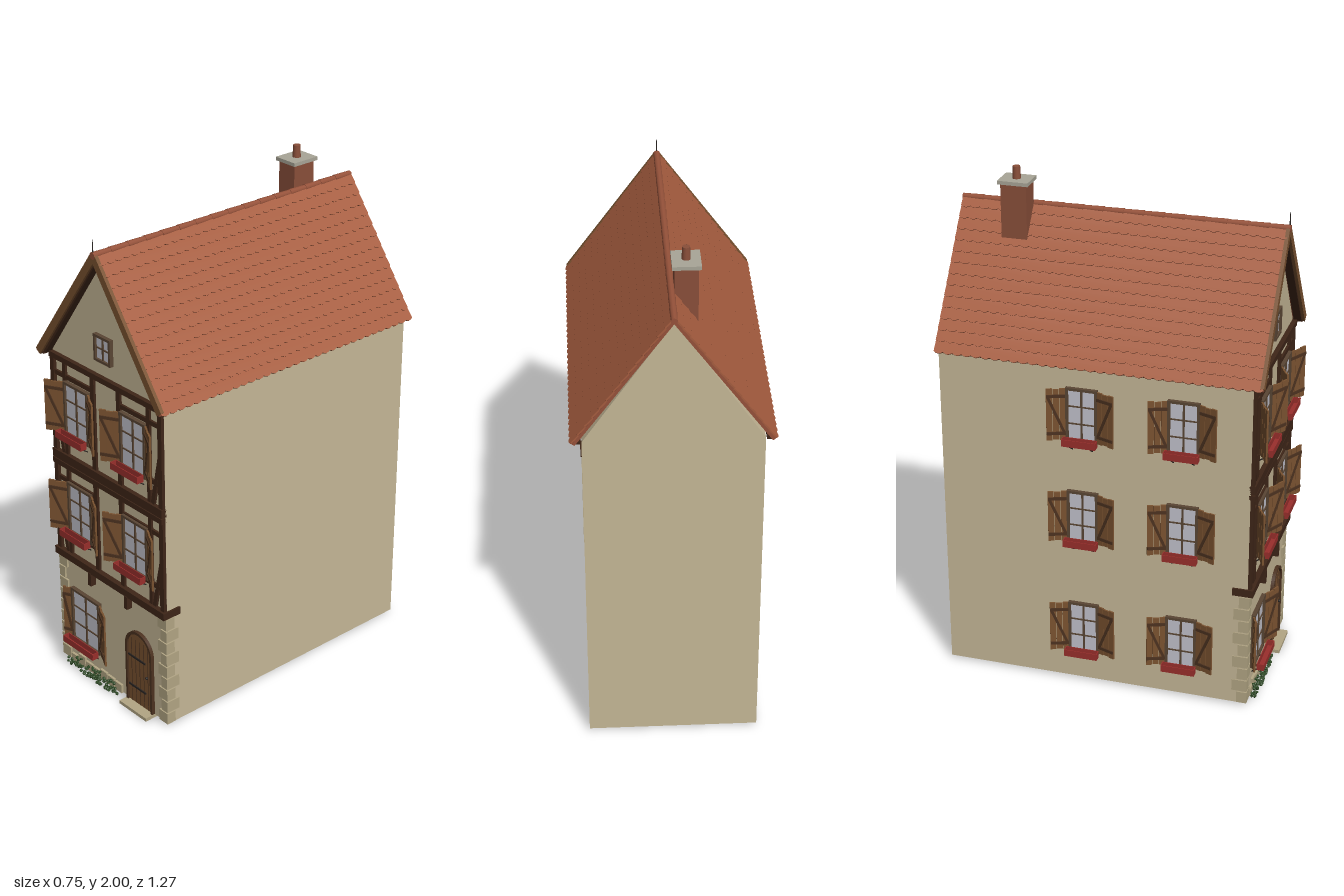
import * as THREE from 'three';

const mat = (color, extra = {}) => new THREE.MeshStandardMaterial({ color, ...extra });
const M = {
  wall: mat(0xc6b897), timber: mat(0x3f2618), wood: mat(0x7a5230), woodDark: mat(0x4c3220),
  glass: mat(0xc3c3cd), frame: mat(0x5a4634), red: mat(0x9a2f2c), stone: mat(0xb3a684),
  tile: mat(0xa65d3f, { side: THREE.DoubleSide }), ridge: mat(0x96523a), brick: mat(0x8a4f3a),
  cap: mat(0xa9a698), leaf: mat(0x2f4a26, { flatShading: true }), iron: mat(0x2a2522), inside: mat(0xb08f6c),
};
const X0 = -0.31, X1 = 0.335, CX = 0.0125, EAVE = 1.36, APEX = 1.835, FRONT = 0.58, BACK = -0.625;

function add(parent, name, geo, material, x = 0, y = 0, z = 0) {
  const mesh = new THREE.Mesh(geo, material);
  mesh.name = name;
  mesh.position.set(x, y, z);
  parent.add(mesh);
  return mesh;
}
const box = (p, name, m, w, h, d, x, y, z) => add(p, name, new THREE.BoxGeometry(w, h, d), m, x, y, z);
function group(parent, name) {
  const g = new THREE.Group();
  g.name = name;
  parent.add(g);
  return g;
}
// Straight beam between two points in a plane of constant z
function bar(p, name, m, x1, y1, x2, y2, width, depth, z) {
  const b = box(p, name, m, Math.hypot(x2 - x1, y2 - y1), width, depth, (x1 + x2) / 2, (y1 + y2) / 2, z);
  b.rotation.z = Math.atan2(y2 - y1, x2 - x1);
  return b;
}
const poly = (pts) => new THREE.Shape(pts.map(([x, y]) => new THREE.Vector2(x, y)));
const extrude = (shape, depth, curveSegments = 8) =>
  new THREE.ExtrudeGeometry(shape, { depth, bevelEnabled: false, curveSegments });

// Plank shutter hinged at x = 0, reaching to side * w
function shutter(parent, side, w, h, angle) {
  const g = group(parent, 'shutter');
  for (let i = 0; i < 3; i++)
    box(g, 'shutterPlank', M.wood, w / 3 - 0.002, h - (i % 2) * 0.006, 0.007, side * w * (i + 0.5) / 3, 0, 0);
  for (const s of [-1, 1]) box(g, 'shutterBatten', M.woodDark, w * 0.94, 0.012, 0.005, side * w / 2, s * h * 0.36, 0.005);
  bar(g, 'shutterBrace', M.woodDark, side * w * 0.1, -h * 0.34, side * w * 0.9, h * 0.34, 0.01, 0.005, 0.005);
  g.rotation.y = -side * angle;
  return g;
}

// Window facing +z, with optional shutters [left width, right width] and flower box
function windowUnit(parent, w, h, shutters, angle, withBox = true) {
  const g = group(parent, 'window');
  box(g, 'windowGlass', M.glass, w, h, 0.006, 0, 0, 0.002);
  for (const s of [-1, 1]) {
    box(g, 'windowJamb', M.frame, 0.01, h + 0.01, 0.016, s * w / 2, 0, 0.006);
    box(g, 'windowRail', M.frame, w + 0.01, 0.01, 0.016, 0, s * h / 2, 0.006);
  }
  box(g, 'windowMullion', M.frame, 0.007, h, 0.008, 0, 0, 0.006);
  for (const t of withBox ? [-1 / 6, 1 / 6] : [0])
    box(g, 'windowGlazingBar', M.frame, w, 0.005, 0.008, 0, t * h, 0.005);
  shutters.forEach((sw, i) => {
    const side = i ? 1 : -1;
    shutter(g, side, sw, h, angle).position.set(side * (w / 2 + 0.004), 0, 0.007);
  });
  if (!withBox) return g;
  // Open-topped flower box on two struts
  const y = -h / 2 + 0.008;
  box(g, 'flowerBoxBase', M.red, w + 0.02, 0.004, 0.028, 0, y - 0.013, 0.04);
  for (const s of [-1, 1]) {
    box(g, 'flowerBoxSide', M.red, w + 0.02, 0.026, 0.003, 0, y, 0.04 + s * 0.013);
    box(g, 'flowerBoxEnd', M.red, 0.003, 0.026, 0.026, s * (w / 2 + 0.009), y, 0.04);
    const strut = box(g, 'flowerBoxStrut', M.iron, 0.004, 0.004, 0.06, s * w * 0.35, y - 0.03, 0.024);
    strut.rotation.x = -0.6;
  }
  return g;
}

// Hollow house shell, open underneath
function walls(root) {
  const g = group(root, 'walls');
  const gable = poly([[X0, 0.015], [X1, 0.015], [X1, EAVE], [CX, APEX], [X0, EAVE]]);
  const shell = poly([[X0, 0.015], [X0 + 0.03, 0.015], [X0 + 0.03, 0.46], [X1 - 0.03, 0.46], [X1 - 0.03, 0.015],
    [X1, 0.015], [X1, EAVE], [CX, APEX], [X0, EAVE]]);
  add(g, 'sideWalls', extrude(shell, FRONT - BACK - 0.06), M.wall, 0, 0, BACK + 0.03);
  add(g, 'backWall', extrude(gable, 0.03), M.wall, 0, 0, BACK);
  add(g, 'frontWall', extrude(gable, 0.03), M.wall, 0, 0, FRONT - 0.03);
  box(g, 'innerFloor', M.woodDark, 0.58, 0.01, 0.5, CX, 0.03, 0.29);
  box(g, 'innerRoom', M.inside, 0.28, 0.42, 0.4, -0.1, 0.245, -0.25);
}

// Overlapping scalloped tile courses on both slopes
function roof(root) {
  const g = group(root, 'roof');
  const rows = 14, tiles = 34, len = 1.25, tw = len / tiles;
  const half = 0.355, rise = 0.495, slope = Math.hypot(half, rise), step = slope / rows;
  const course = new THREE.Shape();
  course.moveTo(0, step);
  course.lineTo(0, 0);
  for (let i = 0; i < tiles; i++)
    course.quadraticCurveTo((i + 0.5) * tw, -0.014, (i + 1) * tw, 0);
  course.lineTo(len, step);
  const geo = extrude(course, 0.006, 4);
  for (const side of [-1, 1]) {
    const s = group(g, side > 0 ? 'leftSlope' : 'rightSlope');
    for (let i = 0; i < rows; i++) {
      const row = add(s, 'tileCourse', geo, M.tile, 0, i * step, 0.004);
      row.rotation.x = -0.1;
    }
    box(s, 'roofDeck', M.ridge, len, slope, 0.012, len / 2, slope / 2, -0.004);
    // Local x runs along the ridge, local y up the slope
    const along = new THREE.Vector3(0, 0, -side);
    const up = new THREE.Vector3(-side * half, rise, 0).normalize();
    s.quaternion.setFromRotationMatrix(new THREE.Matrix4().makeBasis(along, up, along.clone().cross(up)));
    s.position.set(CX + side * half, EAVE - 0.006, side > 0 ? 0.622 : -0.628);
    // Barge boards and moulding on the front gable
    bar(g, 'bargeBoard', M.wood, CX + side * 0.35, EAVE - 0.002, CX, APEX + 0.005, 0.03, 0.014, 0.618);
    bar(g, 'bargeMoulding', M.timber, CX + side * 0.325, EAVE, CX, APEX - 0.02, 0.012, 0.03, 0.6);
    box(g, 'eaveBoard', M.timber, 0.022, 0.012, 1.24, CX + side * 0.337, EAVE - 0.003, -0.003);
  }
  for (let i = 0; i < 16; i++) {
    const r = add(g, 'ridgeTile', new THREE.CylinderGeometry(0.014, 0.012, len / 16 + 0.006, 10), M.ridge,
      CX, APEX + 0.009, -0.588 + i * len / 16);
    r.rotation.x = Math.PI / 2;
  }
  add(g, 'finial', new THREE.CylinderGeometry(0.0015, 0.003, 0.06, 6), M.iron, CX, 1.875, 0.622);
}

function chimney(root) {
  const g = group(root, 'chimney');
  box(g, 'chimneyStack', M.brick, 0.083, 0.36, 0.1, -0.04, 1.76, -0.397);
  box(g, 'chimneyCap', M.cap, 0.102, 0.014, 0.118, -0.04, 1.946, -0.397);
  add(g, 'chimneyPot', new THREE.CylinderGeometry(0.014, 0.016, 0.05, 14), M.brick, -0.04, 1.975, -0.397);
}

// Half-timbering of the two upper storeys
function timberFrame(root) {
  const g = group(root, 'timberFrame');
  const z = FRONT + 0.003;
  box(g, 'jettyBeam', M.timber, 0.66, 0.03, 0.08, CX, 0.505, 0.562);
  for (const [y, h] of [[0.905, 0.022], [0.937, 0.035], [1.35, 0.022]])
    box(g, 'floorBeam', M.timber, 0.645, h, 0.024, CX, y, z + 0.003);
  for (const [y0, y1] of [[0.52, 0.895], [0.955, 1.34]]) {
    const sill = y0 + 0.09, head = y1 - 0.06;
    for (const s of [-1, 1]) {
      box(g, 'cornerPost', M.timber, 0.022, y1 - y0, 0.02, CX + s * 0.311, (y0 + y1) / 2, z);
      box(g, 'innerPost', M.timber, 0.022, y1 - y0, 0.014, CX + s * 0.076, (y0 + y1) / 2, z);
      box(g, 'jambPost', M.timber, 0.018, y1 - y0, 0.014, CX + s * 0.243, (y0 + y1) / 2, z);
      for (const y of [sill, head])
        box(g, 'rail', M.timber, 0.235, 0.018, 0.012, CX + s * 0.19, y, z);
      bar(g, 'brace', M.timber, CX + s * 0.262, y0, CX + s * 0.305, y0 + 0.2, 0.018, 0.014, z);
    }
  }
  for (const x of [-0.1, 0.12]) box(g, 'bracket', M.timber, 0.018, 0.055, 0.025, x, 0.465, 0.592);
}

function openings(root) {
  const g = group(root, 'openings');
  for (const y of [0.73, 1.155])
    for (const x of [-0.155, 0.175])
      windowUnit(g, 0.135, 0.21, [0.082, 0.09], 0.5).position.set(x, y, FRONT + 0.006);
  const ground = windowUnit(g, 0.165, 0.225, [0.04, 0.088], 0.45);
  ground.position.set(-0.148, 0.247, FRONT + 0.003);
  windowUnit(g, 0.085, 0.095, [], 0, false).position.set(0.01, 1.472, FRONT + 0.002);
  // Right side of the house: two columns on three storeys
  for (const y of [0.245, 0.73, 1.155])
    for (const z of [0.325, -0.065]) {
      const w = windowUnit(g, 0.112, 0.21, [0.075, 0.075], 0.35);
      w.rotation.y = -Math.PI / 2;
      w.position.set(X0 - 0.001, y, z);
    }
}

function door(root) {
  const g = group(root, 'door');
  const arch = (r, y0, yc) => {
    const s = new THREE.Shape();
    s.moveTo(-r, y0);
    s.lineTo(r, y0);
    s.lineTo(r, yc);
    s.absarc(0, yc, r, 0, Math.PI, false);
    s.lineTo(-r, y0);
    return s;
  };
  const surround = arch(0.078, 0.015, 0.272);
  surround.holes.push(new THREE.Path(arch(0.067, 0.016, 0.272).getPoints(16)));
  add(g, 'doorSurround', extrude(surround, 0.014, 16), M.woodDark, 0.175, 0, FRONT);
  add(g, 'doorLeaf', extrude(arch(0.068, 0.015, 0.272), 0.006, 16), M.wood, 0.175, 0, FRONT);
  for (let i = -2; i <= 2; i++) box(g, 'doorGroove', M.woodDark, 0.003, 0.29, 0.002, 0.175 + i * 0.024, 0.162, FRONT + 0.006);
  for (const y of [0.09, 0.225]) box(g, 'doorHinge', M.iron, 0.1, 0.008, 0.004, 0.16, y, FRONT + 0.008);
  add(g, 'doorKnob', new THREE.SphereGeometry(0.006, 10, 8), M.iron, 0.223, 0.17, FRONT + 0.013);
  box(g, 'doorstep', M.stone, 0.16, 0.014, 0.06, 0.175, 0.01, 0.597);
}

// Corner stones, plinth stones and creeping plants
function stonesAndPlants(root) {
  const g = group(root, 'stonesAndPlants');
  let seed = 7;
  const rnd = () => (seed = (seed * 16807) % 2147483647) / 2147483647;
  for (const s of [-1, 1])
    for (let i = 0; i < 9; i++) {
      const w = i % 2 ? 0.034 : 0.05, d = i % 2 ? 0.06 : 0.04;
      box(g, 'cornerStone', M.stone, w, 0.047, d, CX + s * (0.326 - w / 2), 0.04 + i * 0.0525, FRONT + 0.008 - d / 2);
    }
  for (let i = 0; i < 7; i++) {
    const h = 0.03 + rnd() * 0.02;
    box(g, 'plinthStone', M.stone, 0.042, h, 0.012, -0.235 + i * 0.046, 0.015 + h / 2, FRONT + 0.004);
  }
  const leaf = new THREE.IcosahedronGeometry(0.008, 0);
  for (let i = 0; i < 90; i++) {
    const m = add(g, 'leafClump', leaf, M.leaf, -0.255 + rnd() * 0.3, 0.008 + rnd() * rnd() * 0.055, FRONT + 0.012 + rnd() * 0.022);
    m.rotation.set(rnd() * 3, rnd() * 3, 0);
    m.scale.set(0.9, 0.5 + rnd() * 0.5, 0.9);
  }
}

export function createModel() {
  const root = new THREE.Group();
  root.name = 'townHouse';
  [walls, roof, chimney, timberFrame, openings, door, stonesAndPlants].forEach((build) => build(root));
  return root;
}
